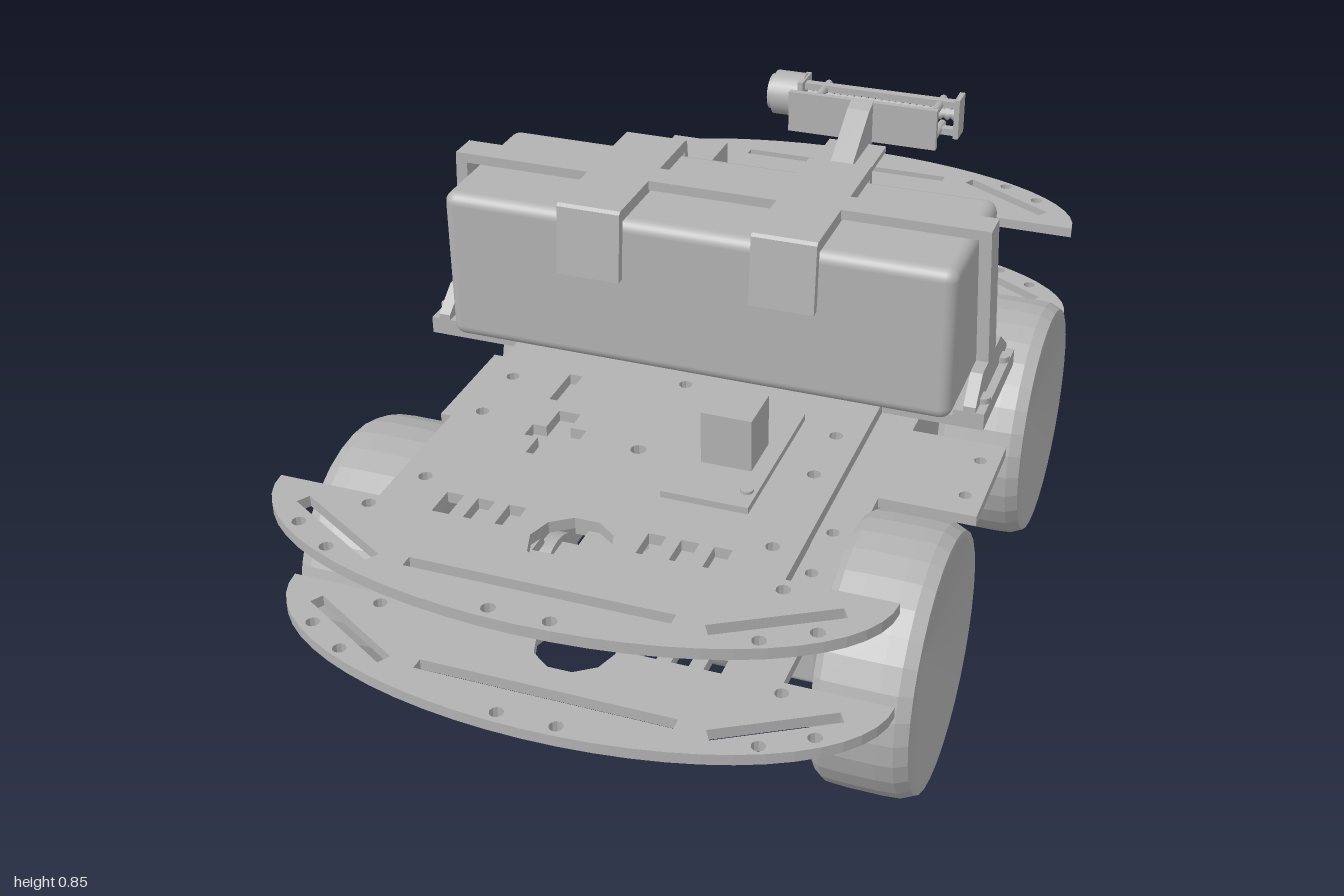
import * as THREE from 'three';
import { RoundedBoxGeometry } from 'three/addons/geometries/RoundedBoxGeometry.js';

const MID = 0.1; // z of the chassis centre
const grey = new THREE.MeshStandardMaterial({ color: 0xb2b2b2 });
grey.name = 'grey plastic';

function add(parent, name, geometry, x = 0, y = 0, z = 0) {
  const mesh = new THREE.Mesh(geometry, grey);
  mesh.name = name;
  mesh.position.set(x, y, z);
  parent.add(mesh);
  return mesh;
}

// Box given by its limits; a radius rounds the edges
function box(parent, name, x0, x1, y0, y1, z0, z1, radius = 0) {
  const s = [x1 - x0, y1 - y0, z1 - z0];
  const g = radius ? new RoundedBoxGeometry(...s, 3, radius) : new THREE.BoxGeometry(...s);
  return add(parent, name, g, (x0 + x1) / 2, (y0 + y1) / 2, (z0 + z1) / 2);
}

// Cylinder lying along x or z
function rod(parent, name, axis, from, to, r, a, b, sides = 20) {
  const g = new THREE.CylinderGeometry(r, r, to - from, sides);
  const m = (from + to) / 2;
  if (axis === 'x') return add(parent, name, g.rotateZ(Math.PI / 2), m, a, b);
  return add(parent, name, g.rotateX(Math.PI / 2), a, b, m);
}

// Outline in (z, y) extruded along x from x0
function sideProfile(points, x0, width) {
  const shape = new THREE.Shape(points.map(p => new THREE.Vector2(...p)));
  return new THREE.ExtrudeGeometry(shape, { depth: width, bevelEnabled: false })
    .rotateY(-Math.PI / 2).translate(x0 + width, 0, 0);
}

function slotHole(x, z, w, h, angle = 0) {
  const c = new THREE.Vector2();
  return new THREE.Path([[-1, -1], [1, -1], [1, 1], [-1, 1]].map(([i, j]) =>
    new THREE.Vector2(i * w / 2, j * h / 2).rotateAround(c, angle).add(new THREE.Vector2(x, z))));
}

function roundHole(x, z, r) {
  return new THREE.Path().absarc(x, z, r, 0, Math.PI * 2, true);
}

// Deck plate with curved bumpers, side wings and its pattern of holes
function deckGeometry() {
  const quarter = [[0.525, MID + 0.12], [0.345, MID + 0.12], [0.345, 0.765]];
  for (let i = 0; i <= 14; i++) {
    const a = i / 14 * Math.PI / 2;
    quarter.push([0.525 * Math.cos(a), 0.765 + 0.235 * Math.sin(a)]);
  }
  const flipX = quarter.slice(0, -1).map(([x, z]) => [-x, z]).reverse();
  const half = [...quarter, ...flipX];
  const other = half.map(([x, z]) => [-x, 2 * MID - z]);
  const shape = new THREE.Shape([...half, ...other].map(p => new THREE.Vector2(...p)));
  for (const sz of [1, -1]) {
    const Z = z => MID + sz * (z - MID);
    shape.holes.push(roundHole(0, Z(0.785), 0.069), slotHole(0, Z(0.912), 0.44, 0.022));
    for (const sx of [1, -1]) {
      for (const x of [0.12, 0.175, 0.23]) shape.holes.push(slotHole(sx * x, Z(0.748), 0.03, 0.056));
      shape.holes.push(slotHole(sx * 0.365, Z(0.867), 0.21, 0.024, -sx * sz * 0.53));
      for (const [x, z] of [[0.05, 0.977], [0.43, 0.872], [0.355, 0.918], [0.35, 0.79],
        [0.3, 0.69], [0.3, 0.475], [0.3, 0.35], [0.49, 0.16]]) {
        shape.holes.push(roundHole(sx * x, Z(z), 0.012));
      }
    }
  }
  // Slots found only towards the front
  shape.holes.push(slotHole(-0.195, 0.355, 0.024, 0.09), roundHole(0, 0.5, 0.014), roundHole(0, 0.275, 0.012));
  const cross = [[-0.2, 0.485], [-0.175, 0.485], [-0.175, 0.43], [-0.135, 0.43], [-0.135, 0.475],
    [-0.105, 0.475], [-0.105, 0.53], [-0.135, 0.53], [-0.135, 0.57], [-0.175, 0.57], [-0.175, 0.52], [-0.2, 0.52]];
  shape.holes.push(new THREE.Path(cross.map(p => new THREE.Vector2(...p))));
  return new THREE.ExtrudeGeometry(shape, { depth: 0.02, bevelEnabled: false, curveSegments: 5 })
    .rotateX(Math.PI / 2);
}

// Faceted tyre with a dished face, lying along x with its outer face towards +x
function wheelGeometry() {
  const profile = [[0, -0.06], [0.21, -0.082], [0.224, -0.082], [0.234, -0.068], [0.236, -0.03],
    [0.236, 0.03], [0.234, 0.06], [0.224, 0.082], [0.212, 0.082], [0, 0.045]];
  const g = new THREE.LatheGeometry(profile.map(p => new THREE.Vector2(...p)), 32)
    .rotateZ(-Math.PI / 2).toNonIndexed();
  g.computeVertexNormals();
  return g;
}

function addWheels(model) {
  const geometry = wheelGeometry();
  for (const z of [0.508, -0.305]) {
    for (const s of [1, -1]) {
      const unit = new THREE.Group();
      unit.name = 'wheelUnit';
      unit.position.z = z;
      model.add(unit);
      const wheel = add(unit, 'wheel', geometry, s * 0.46, 0.236, 0);
      if (s < 0) wheel.rotation.y = Math.PI;
      const span = (a, b) => (s > 0 ? [a, b] : [-b, -a]);
      rod(unit, 'axle', 'x', ...span(0.32, 0.41), 0.018, 0.24, 0);
      // Gear motor reaches from the axle towards the chassis centre
      const inward = z > MID ? [-0.363, 0.045] : [-0.045, 0.37];
      box(unit, 'motor', ...span(0.208, 0.34), 0.163, 0.318, ...inward, 0.012);
      rod(unit, 'motorStub', 'x', ...span(0.18, 0.22), 0.016, 0.24, z > MID ? 0 : 0.25);
      if (z > MID) {
        rod(unit, 'encoderDisc', 'x', ...span(0.155, 0.18), 0.085, 0.235, 0, 28);
      }
    }
  }
  rod(model, 'crossRod', 'x', -0.19, 0.19, 0.014, 0.292, MID);
}

function addBattery(model) {
  const battery = new THREE.Group();
  battery.name = 'battery';
  model.add(battery);
  box(battery, 'batteryCase', -0.467, 0.472, 0.54, 0.828, -0.055, 0.253, 0.022);
  // Two straps across the case
  const strap = [[-0.08, 0.72], [-0.066, 0.845], [-0.06, 0.85], [0.26, 0.85], [0.266, 0.845],
    [0.278, 0.72], [0.262, 0.72], [0.252, 0.828], [-0.054, 0.828], [-0.064, 0.72]];
  for (const x of [-0.238, 0.117]) add(battery, 'strap', sideProfile(strap, x, 0.117));
  // Long holder with splayed legs and screwed feet
  box(battery, 'holderBar', -0.495, 0.495, 0.832, 0.85, MID - 0.028, MID + 0.028);
  const leg = [[-0.12, 0.538], [0.12, 0.538], [0.12, 0.56], [0.07, 0.6], [0.028, 0.6],
    [0.028, 0.85], [-0.028, 0.85], [-0.028, 0.6], [-0.07, 0.6], [-0.12, 0.56]];
  const legGeometry = sideProfile(leg, 0.476, 0.022);
  const p = legGeometry.attributes.position;
  for (let i = 0; i < p.count; i++) p.setX(i, p.getX(i) + (0.85 - p.getY(i)) * 0.04);
  legGeometry.computeVertexNormals();
  for (const turn of [0, Math.PI]) {
    const side = new THREE.Group();
    side.name = 'holderSide';
    side.position.z = MID;
    side.rotation.y = turn;
    battery.add(side);
    add(side, 'holderLeg', legGeometry);
    box(side, 'holderFoot', 0.47, 0.525, 0.538, 0.55, -0.12, 0.12);
    for (const z of [-0.075, 0.075]) {
      add(side, 'footScrew', new THREE.CylinderGeometry(0.014, 0.014, 0.015, 12), 0.512, 0.553, z);
    }
  }
}

function addElectronics(model) {
  box(model, 'controlBoard', -0.275, 0.32, 0.538, 0.554, -0.512, -0.12);
  box(model, 'controlBlock', -0.296, -0.18, 0.538, 0.672, -0.455, -0.275);
  for (const x of [-0.112, 0.29]) for (const z of [-0.485, -0.145]) {
    add(model, 'boardScrew', new THREE.CylinderGeometry(0.011, 0.011, 0.006, 10), x, 0.556, z);
  }
  box(model, 'sensorBoard', 0.085, 0.235, 0.538, 0.55, 0.32, 0.62);
  box(model, 'sensorBlock', 0.118, 0.206, 0.538, 0.645, 0.43, 0.518);
  for (const [x, z] of [[0.105, 0.365], [0.218, 0.575]]) {
    add(model, 'boardScrew', new THREE.CylinderGeometry(0.011, 0.011, 0.006, 10), x, 0.552, z);
  }
  box(model, 'lowerBlock', -0.08, 0.08, 0.338, 0.492, 0.228, 0.335);
  box(model, 'lowerBoard', 0.118, 0.276, 0.338, 0.36, 0.4, 0.6, 0.008);
}

function addRearSlide(model) {
  const slide = new THREE.Group();
  slide.name = 'rearSlide';
  model.add(slide);
  // Gusseted bracket on the deck
  box(slide, 'bracketBase', -0.065, 0.065, 0.538, 0.55, -0.81, -0.68);
  const gusset = [[-0.675, 0.54], [-0.68, 0.552], [-0.805, 0.63], [-0.84, 0.64], [-0.84, 0.54]];
  add(slide, 'gusset', sideProfile(gusset, -0.025, 0.05));
  box(slide, 'mountPlate', -0.17, 0.17, 0.545, 0.638, -0.848, -0.834);
  // Rail plate, pins, motor and threaded spindle
  box(slide, 'rail', -0.165, 0.2, 0.545, 0.56, -0.945, -0.925);
  box(slide, 'rail', -0.165, 0.2, 0.61, 0.625, -0.945, -0.925);
  for (const x of [-0.115, 0.153]) {
    for (const y of [0.555, 0.615]) rod(slide, 'pin', 'z', -0.965, -0.885, 0.009, x, y, 12);
  }
  box(slide, 'endPlate', 0.188, 0.2, 0.54, 0.632, -0.972, -0.92);
  box(slide, 'endPlate', -0.172, -0.16, 0.54, 0.632, -0.975, -0.905);
  rod(slide, 'slideMotor', 'x', -0.235, -0.165, 0.05, 0.586, -0.948, 28);
  rod(slide, 'motorCap', 'x', -0.246, -0.235, 0.04, 0.586, -0.948, 28);
  const thread = [];
  for (let i = 0; i <= 44; i++) thread.push(new THREE.Vector2(i % 2 ? 0.016 : 0.01, -0.165 + i * 0.0081));
  add(slide, 'spindle', new THREE.LatheGeometry(thread, 14).rotateZ(-Math.PI / 2), 0, 0.586, -0.952);
}

export function createModel() {
  const model = new THREE.Group();
  model.name = 'roverChassis';
  const deck = deckGeometry();
  add(model, 'upperDeck', deck, 0, 0.538, 0);
  add(model, 'lowerDeck', deck, 0, 0.338, 0);
  addWheels(model);
  addBattery(model);
  addElectronics(model);
  addRearSlide(model);
  return model;
}
